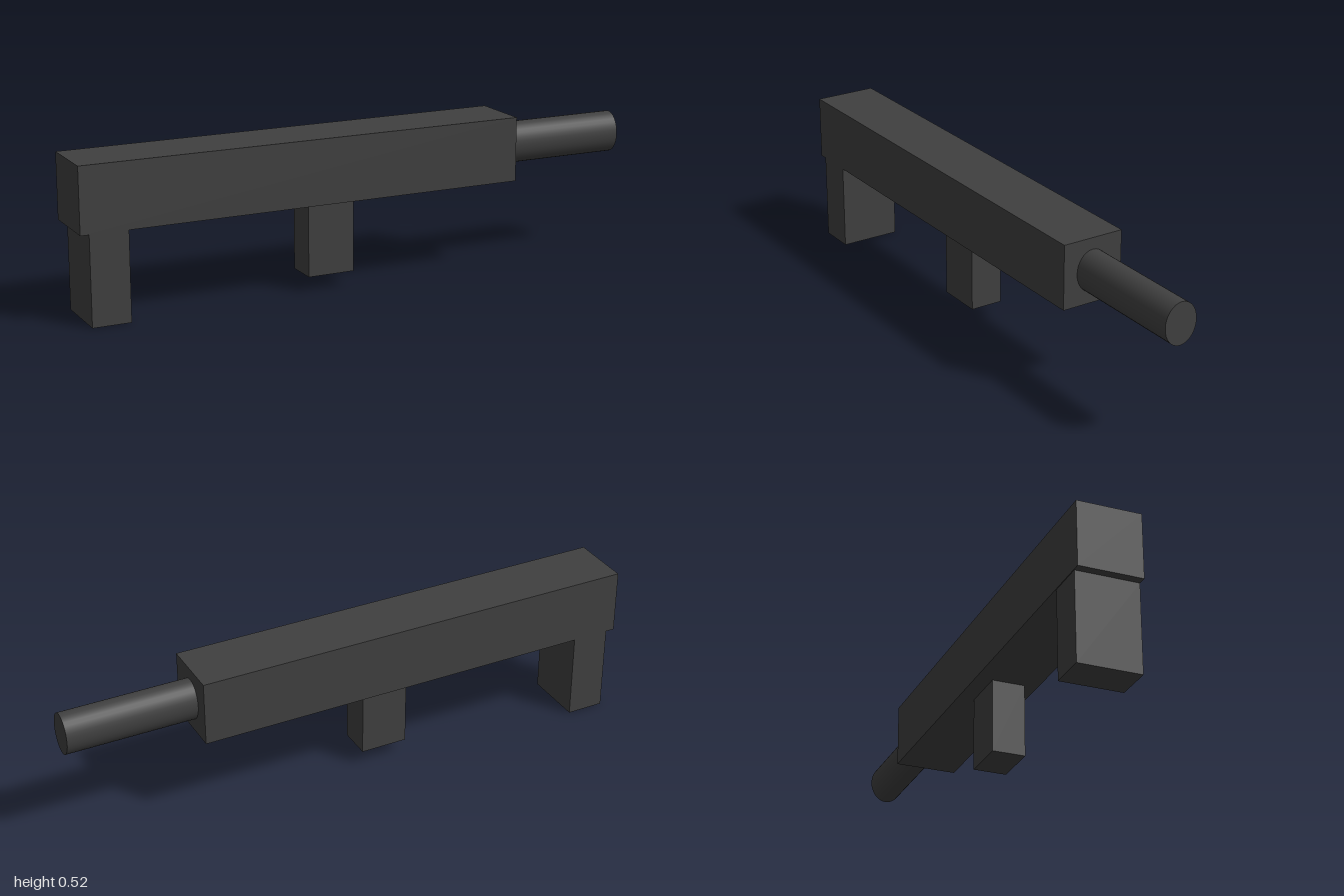
import * as THREE from 'three';

export function createModel() {
  const model = new THREE.Group();
  const darkGrey = new THREE.MeshStandardMaterial({ color: 0x404040 });
  darkGrey.name = 'dark grey';

  // Everything sits on one slightly turned axis
  const body = new THREE.Group();
  body.name = 'body';
  body.position.x = -0.2185;
  body.rotation.y = -0.049;
  model.add(body);

  const add = (name, geometry, x, y, z) => {
    const mesh = new THREE.Mesh(geometry, darkGrey);
    mesh.name = name;
    mesh.position.set(x, y, z);
    body.add(mesh);
  };
  // Box between two heights
  const block = (name, length, bottom, top, width, x, z) =>
    add(name, new THREE.BoxGeometry(length, top - bottom, width), x, (bottom + top) / 2, z);

  block('receiver', 1.552, 0.302, 0.523, 0.216, 0, 0);
  block('rearGrip', 0.13, 0, 0.302, 0.213, -0.682, 0.001);
  block('frontGrip', 0.164, 0.05, 0.302, 0.114, 0.1, 0.006);

  // Barrel, slightly taller than wide
  const barrel = new THREE.CylinderGeometry(0.0715, 0.0715, 0.441, 32);
  barrel.rotateZ(-Math.PI / 2).scale(1, 1, 0.811);
  add('barrel', barrel, 0.9965, 0.4125, 0.001);

  return model;
}
